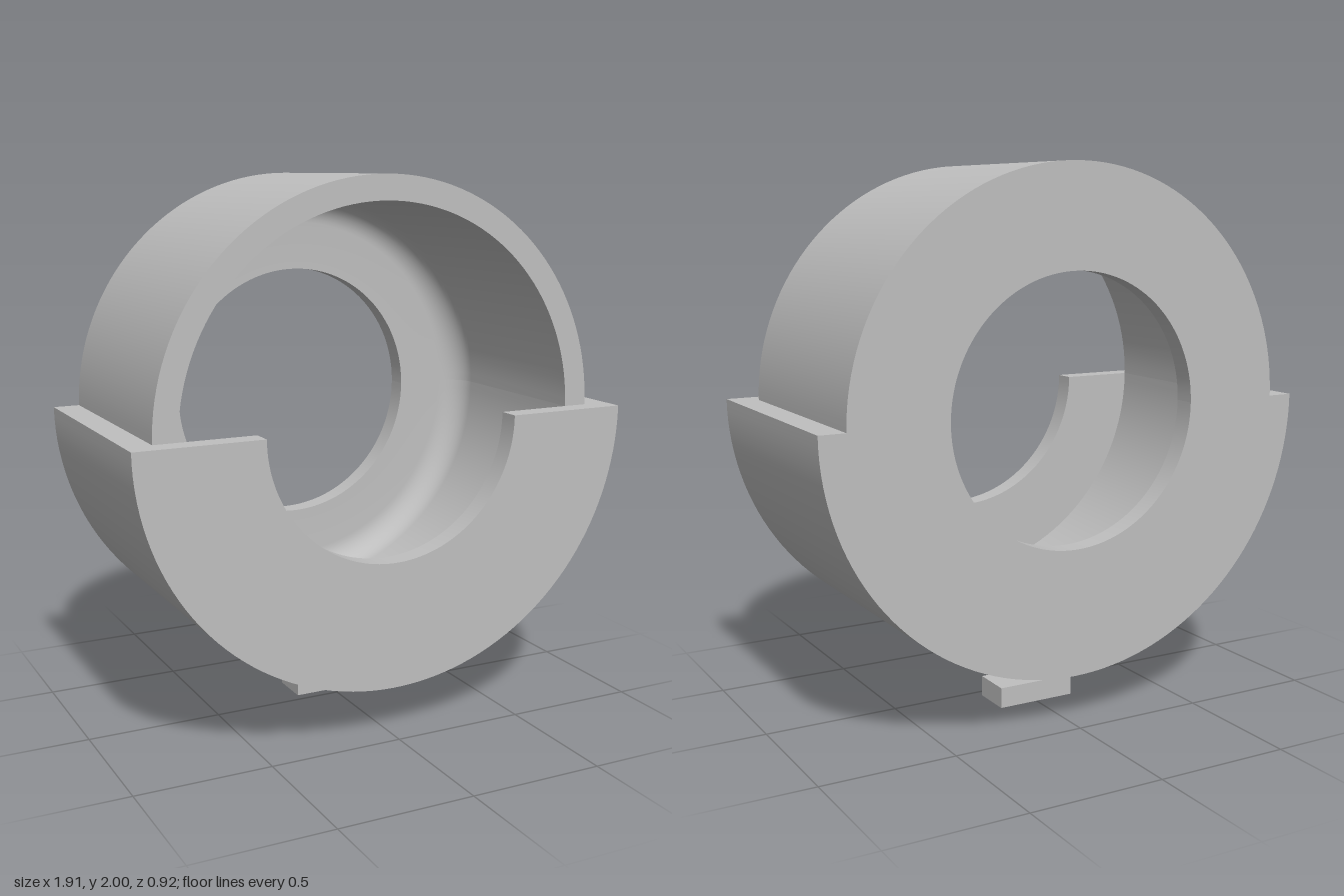
import * as THREE from 'three';
import { toCreasedNormals } from 'three/addons/utils/BufferGeometryUtils.js';

const AXIS_Y = 1.14;   // height of the ring axis
const HOLE = 0.49, BORE = 0.77, UPPER = 0.86, LOWER = 0.957;
const BACK = -0.46, FRONT = 0.46, LIP = 0.38, WALL = -0.38, FILLET = 0.1;

export function createModel() {
  const group = new THREE.Group();
  const grey = new THREE.MeshStandardMaterial({ color: 0xbfbfbf, side: THREE.DoubleSide });
  grey.name = 'plain grey';

  function add(name, geometry, x, y, z) {
    const mesh = new THREE.Mesh(geometry, grey);
    mesh.name = name;
    mesh.position.set(x, y, z);
    group.add(mesh);
    return mesh;
  }

  // Bore wall, rounded inner corner and back wall, as (radius, z) points
  const inside = [];
  for (let i = 0; i <= 10; i++) {
    const a = (i / 10) * Math.PI / 2;
    inside.push([BORE - FILLET + FILLET * Math.cos(a), WALL + FILLET - FILLET * Math.sin(a)]);
  }
  inside.push([HOLE, WALL], [HOLE, BACK]);

  const upperProfile = [[HOLE, BACK], [UPPER, BACK], [UPPER, LIP], [BORE, LIP], ...inside];
  const lowerProfile = [[HOLE, BACK], [LOWER, BACK], [LOWER, FRONT], [HOLE, FRONT],
    [HOLE, LIP], [BORE, LIP], ...inside];

  // Half turn of a profile about the z axis
  function halfRing(profile, start) {
    const points = profile.map(([r, z]) => new THREE.Vector2(r, z));
    const lathe = new THREE.LatheGeometry(points, 72, start, Math.PI);
    return toCreasedNormals(lathe.rotateX(Math.PI / 2), Math.PI / 6);
  }
  add('upperShell', halfRing(upperProfile, Math.PI / 2), 0, AXIS_Y, 0);
  add('lowerShell', halfRing(lowerProfile, -Math.PI / 2), 0, AXIS_Y, 0);

  // Flat cut faces on top of the lower shell
  for (const side of [1, -1]) {
    const shape = new THREE.Shape(lowerProfile.slice(0, -1).map(([r, z]) => new THREE.Vector2(side * r, -z)));
    const cut = new THREE.ShapeGeometry(shape).rotateX(-Math.PI / 2);
    add(side > 0 ? 'leftCutFace' : 'rightCutFace', cut, 0, AXIS_Y, 0);
  }

  // T-shaped foot; the stem runs slightly into the shell
  add('footStem', new THREE.BoxGeometry(0.08, 0.14, 0.076), 0, 0.145, -0.112);
  add('footBase', new THREE.BoxGeometry(0.304, 0.077, 0.152), 0, 0.0385, -0.114);

  return group;
}
